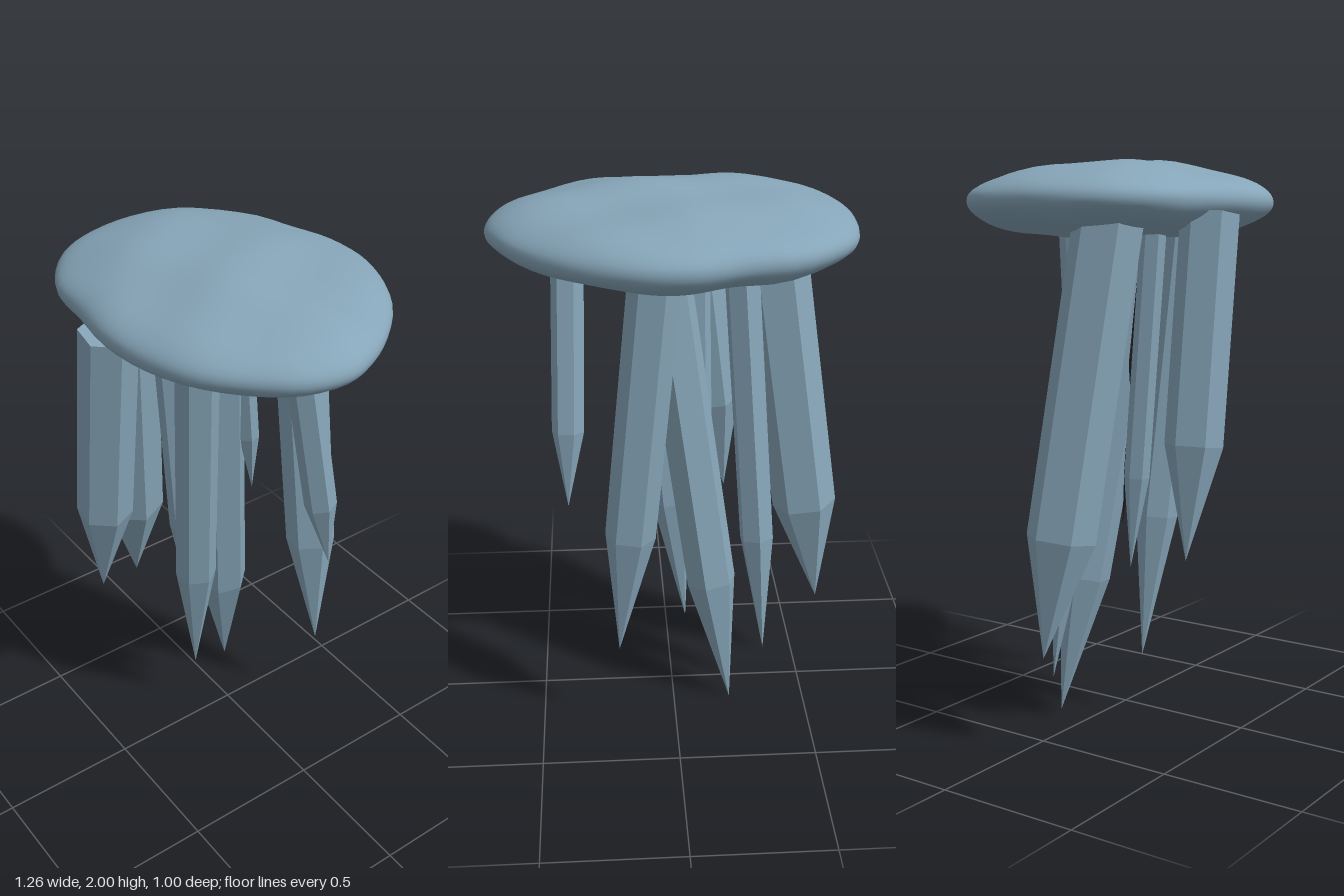
import * as THREE from 'three';

const stone = new THREE.MeshStandardMaterial({ color: 0x86a5b8 });
stone.name = 'blue grey stone';
const dark = new THREE.MeshStandardMaterial({ color: 0x232327 });
dark.name = 'dark core';

// Outline of the slab, [x, z]
const OUTLINE = [
  [0.63, 0], [0.6, 0.15], [0.5, 0.28], [0.36, 0.4], [0.2, 0.46], [0, 0.485], [-0.2, 0.455],
  [-0.37, 0.43], [-0.53, 0.32], [-0.61, 0.17], [-0.63, 0], [-0.59, -0.2], [-0.4, -0.385],
  [-0.2, -0.445], [-0.05, -0.497], [0.1, -0.5], [0.25, -0.455], [0.4, -0.365], [0.53, -0.22], [0.6, -0.1],
];

// Lumpy rounded slab: rings run from the top centre over the rim to the bottom centre
function slabGeometry(segments = 64, rings = 32) {
  const curve = new THREE.CatmullRomCurve3(OUTLINE.map(([x, z]) => new THREE.Vector3(x, 0, z)), true);
  const rim = curve.getPoints(segments).slice(0, segments);
  const pos = [], index = [];
  for (let i = 0; i <= rings; i++) {
    const a = Math.PI * i / rings;
    const up = Math.cos(a);
    // the underside is blunter than the top
    const s = Math.pow(Math.sin(a), up > 0 ? 0.9 : 0.75);
    for (const p of rim) {
      const x = p.x * s, z = p.z * s;
      const bulge = Math.sign(up) * Math.pow(Math.abs(up), 0.95);
      const lump = 0.011 * Math.sin(10 * x + 4 * z) * Math.sin(13 * z - 4 * x + 1) * Math.abs(up);
      // the top crest lies a little in front of the middle, with a dip behind it
      const crest = up > 0 ? 0.01 * Math.sin(9 * z + 0.6) * up : 0;
      pos.push(x, 1.853 + bulge * (up > 0 ? 0.132 : 0.125) + lump + crest, z);
    }
  }
  for (let i = 0; i < rings; i++) {
    for (let j = 0; j < segments; j++) {
      const k = (j + 1) % segments;
      const a = i * segments + j, b = i * segments + k;
      const c = a + segments, d = b + segments;
      if (i > 0) index.push(a, b, c);
      if (i < rings - 1) index.push(b, d, c);
    }
  }
  const g = new THREE.BufferGeometry();
  g.setAttribute('position', new THREE.Float32BufferAttribute(pos, 3));
  g.setIndex(index);
  g.computeVertexNormals();
  return g;
}

// Six-sided shard with a pointed end, running from top to tip
function shard(name, top, tip, radius, point, turn, material = stone) {
  const from = new THREE.Vector3(...top);
  const axis = new THREE.Vector3(...tip).sub(from);
  const length = axis.length();
  const profile = [[0, -length], [radius, point - length], [radius, 0], [0, 0]];
  const g = new THREE.LatheGeometry(profile.map(([x, y]) => new THREE.Vector2(x, y)), 6)
    .rotateY(turn).toNonIndexed();
  g.computeVertexNormals();
  const mesh = new THREE.Mesh(g, material);
  mesh.name = name;
  mesh.position.copy(from);
  mesh.quaternion.setFromUnitVectors(new THREE.Vector3(0, -1, 0), axis.normalize());
  return mesh;
}

export function createModel() {
  const model = new THREE.Group();
  model.name = 'hangingCrystals';

  const slab = new THREE.Mesh(slabGeometry(), stone);
  slab.name = 'slab';
  model.add(slab);

  // name, top, tip, radius, length of the point, turn
  const shards = [
    ['frontShard', [-0.09, 1.81, 0.405], [-0.235, 0.65, 0.41], 0.1, 0.39, 0.42],
    ['rightShard', [-0.36, 1.81, 0.185], [-0.57, 0.33, 0.06], 0.12, 0.41, 0.4],
    ['rightBackShard', [-0.24, 1.81, 0.08], [-0.35, 0.18, -0.07], 0.065, 0.48, 0.1],
    ['longShard', [0.04, 1.81, 0.07], [-0.215, 0.005, -0.14], 0.093, 0.51, 0.75],
    ['middleShard', [0.105, 1.81, 0.195], [-0.06, 0.22, 0.115], 0.075, 0.52, 0.6],
    ['innerShard', [-0.1, 1.81, 0.19], [-0.12, 0.56, 0.105], 0.045, 0.33, 0.5],
    ['backShard', [0.065, 1.81, -0.245], [0.21, 0.34, -0.275], 0.09, 0.48, 0.4],
    ['leftShard', [0.355, 1.81, -0.02], [0.38, 0.89, -0.17], 0.057, 0.28, 0.4],
    ['smallShard', [0.06, 1.81, -0.01], [0.04, 1.06, -0.08], 0.038, 0.24, 0.2],
    // dark spike showing between the shards
    ['darkSpike', [-0.005, 1.8, 0.125], [-0.085, 0.7, 0.045], 0.046, 0.6, 0.2, dark],
  ];
  for (const s of shards) model.add(shard(...s));
  return model;
}
